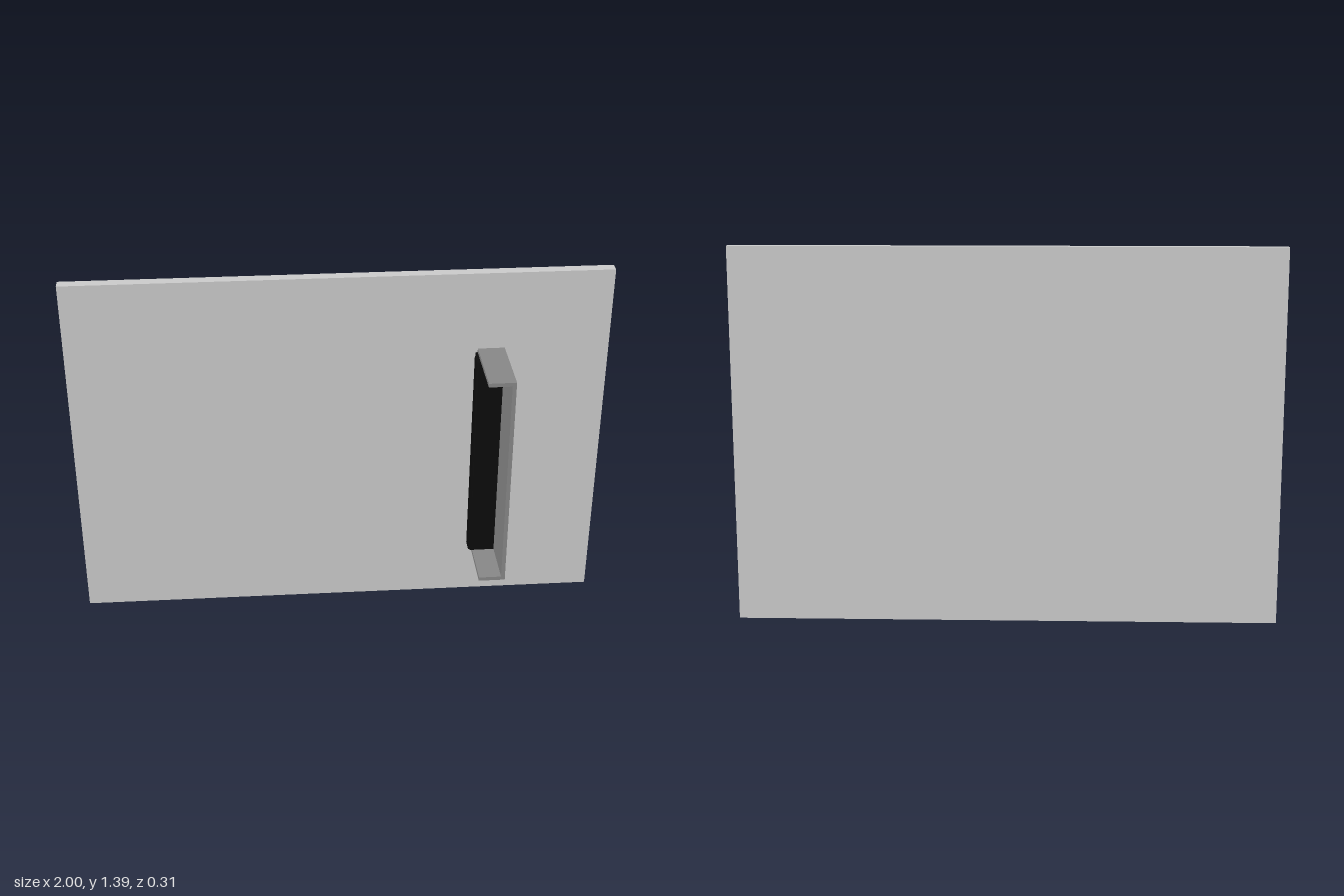
import * as THREE from 'three';

const material = (color) => new THREE.MeshStandardMaterial({ color, flatShading: true });

// Box given by its limits on each axis
function addBox(parent, name, mat, [x0, x1], [y0, y1], [z0, z1]) {
  const mesh = new THREE.Mesh(new THREE.BoxGeometry(x1 - x0, y1 - y0, z1 - z0), mat);
  mesh.position.set((x0 + x1) / 2, (y0 + y1) / 2, (z0 + z1) / 2);
  mesh.name = name;
  parent.add(mesh);
  return mesh;
}

export function createModel() {
  const model = new THREE.Group();
  model.name = 'panelWithBracket';
  const grey = material(0xcccccc);
  const darkGrey = material(0x888888);
  const black = material(0x0b0b0b);

  // Upright panel
  addBox(model, 'panel', grey, [-1, 1], [0, 1.39], [-0.155, -0.115]);

  // Bracket assembly, leaning very slightly; local origin at its centre
  const fixture = new THREE.Group();
  fixture.name = 'bracketAssembly';
  fixture.position.set(0.56, 0.658, 0);
  fixture.rotation.z = 0.005;
  model.add(fixture);

  // C-shaped channel, open towards -x
  const h = 0.43, t = 0.015;
  const depth = [-0.115, 0.155];
  addBox(fixture, 'sidePlate', darkGrey, [0.039, 0.054], [-h, h], depth);
  addBox(fixture, 'topFlange', darkGrey, [-0.046, 0.039], [h - t, h], depth);
  addBox(fixture, 'bottomFlange', darkGrey, [-0.046, 0.039], [-h, -h + t], depth);

  // Black insert: backing strip and a bar with chamfered front left edge
  const inner = [-h + t, h - t];
  addBox(fixture, 'insertBacking', black, [-0.054, 0.039], inner, [-0.115, -0.085]);
  const profile = new THREE.Shape([
    [-0.061, 0.085], [0.039, 0.085], [0.039, 0.03], [-0.053, 0.03], [-0.061, 0.038],
  ].map(([x, y]) => new THREE.Vector2(x, y)));
  const length = inner[1] - inner[0];
  const barGeometry = new THREE.ExtrudeGeometry(profile, { depth: length, bevelEnabled: false });
  barGeometry.rotateX(-Math.PI / 2).translate(0, inner[0], 0);
  const bar = new THREE.Mesh(barGeometry, black);
  bar.name = 'insertBar';
  fixture.add(bar);

  return model;
}
